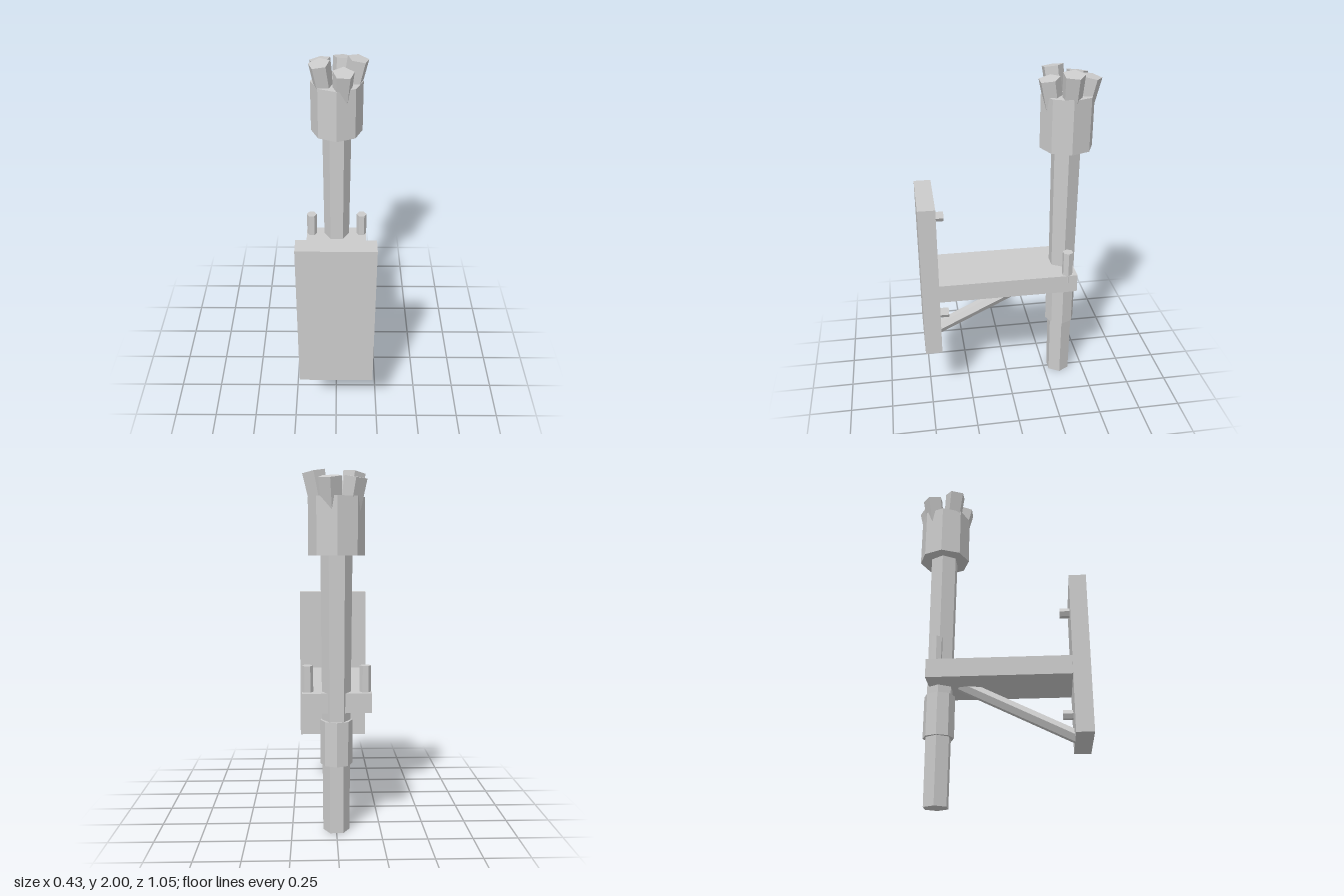
import * as THREE from 'three';

const UP = new THREE.Vector3(0, 1, 0);
const POLE_Z = -0.343;

export function createModel() {
  const model = new THREE.Group();
  const material = new THREE.MeshStandardMaterial({ color: 0xcccccc, flatShading: true });

  function add(name, geometry, x, y, z) {
    const mesh = new THREE.Mesh(geometry, material);
    mesh.name = name;
    mesh.position.set(x, y, z);
    model.add(mesh);
    return mesh;
  }

  // Prism between two points; spin turns its corners about its own axis
  function prism(name, from, to, rFrom, rTo, sides, spin = 0) {
    const a = new THREE.Vector3(...from);
    const b = new THREE.Vector3(...to);
    const geometry = new THREE.CylinderGeometry(rTo, rFrom, a.distanceTo(b), sides).rotateY(spin);
    const mid = a.clone().add(b).multiplyScalar(0.5);
    const mesh = add(name, geometry, mid.x, mid.y, mid.z);
    mesh.quaternion.setFromUnitVectors(UP, b.sub(a).normalize());
    return mesh;
  }

  // Wall plate, shelf and diagonal brace
  add('wallPlate', new THREE.BoxGeometry(0.43, 0.953, 0.1), 0, 0.822, 0.475);
  add('shelf', new THREE.BoxGeometry(0.385, 0.11, 0.84), -0.002, 0.743, 0.02);
  prism('brace', [0, 0.38, 0.445], [0, 0.71, -0.22], 0.039, 0.039, 6, Math.PI / 6);

  // Bolts on the back of the plate
  for (const [x, y] of [[-0.07, 1.122], [0.07, 0.537]]) {
    prism('bolt', [x, y, 0.45], [x, y, 0.367], 0.029, 0.029, 6, Math.PI / 6);
  }

  // Pegs on the shelf, either side of the handle
  for (const side of [-1, 1]) {
    prism('peg', [side * 0.16, 0.75, POLE_Z], [side * 0.16, 0.945, POLE_Z], 0.032, 0.032, 6, Math.PI / 6);
  }

  // Tapered handle, collar and head
  prism('handle', [0, 0, POLE_Z], [0, 1.6, POLE_Z], 0.074, 0.087, 6, Math.PI / 6);
  prism('collar', [0, 0.39, POLE_Z], [0, 0.64, POLE_Z], 0.09, 0.09, 8);
  prism('head', [0, 1.547, POLE_Z], [0, 1.855, POLE_Z], 0.153, 0.153, 8);

  // Ring of prongs leaning outward from the head
  [1.988, 1.95, 1.988, 1.955, 1.955].forEach((top, i) => {
    const angle = (i * Math.PI * 2) / 5;
    const at = (r, y) => [Math.cos(angle) * r, y, POLE_Z + Math.sin(angle) * r];
    prism('prong', at(0.063, top - 0.3), at(0.122, top), 0.05, 0.064, 5, Math.PI);
  });

  return model;
}
